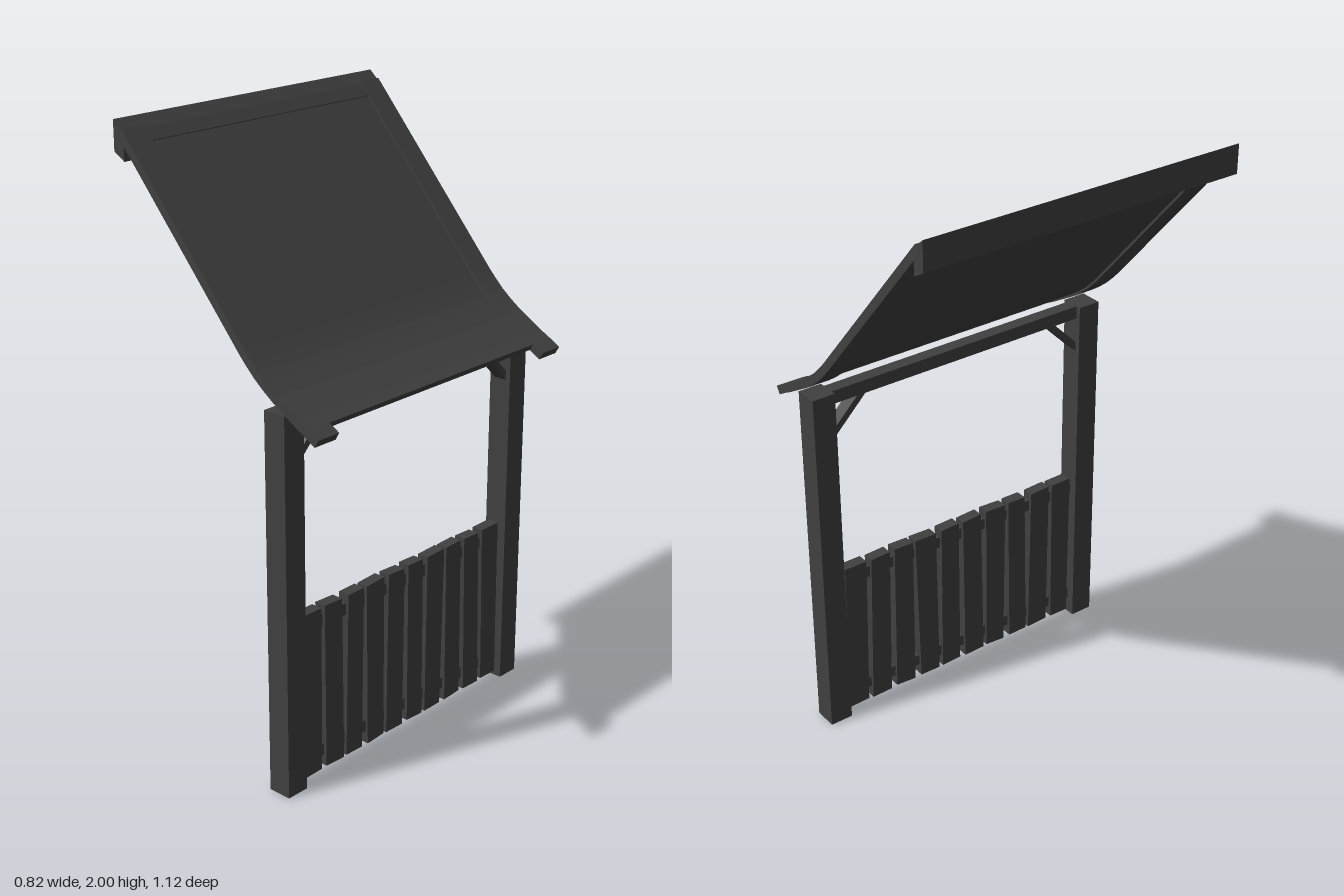
import * as THREE from 'three';

const material = new THREE.MeshStandardMaterial({ color: 0x404040, flatShading: true });

function add(parent, name, geometry, x = 0, y = 0, z = 0) {
  const mesh = new THREE.Mesh(geometry, material);
  mesh.name = name;
  mesh.position.set(x, y, z);
  parent.add(mesh);
  return mesh;
}

const box = (w, h, d) => new THREE.BoxGeometry(w, h, d);

// Outline in the x-y plane, extruded along z and centred on z = 0
function prism(points, depth) {
  const shape = new THREE.Shape(points.map(([x, y]) => new THREE.Vector2(x, y)));
  return new THREE.ExtrudeGeometry(shape, { depth, bevelEnabled: false }).translate(0, 0, -depth / 2);
}

// Centre line of the roof: straight slope with a flared eave
const SLOPE = [[-0.385, 1.967], [0.11, 1.402], [0.135, 1.376], [0.165, 1.347], [0.2, 1.319],
  [0.24, 1.291], [0.3, 1.256], [0.33, 1.238], [0.362, 1.221], [0.4, 1.199]];

// Strip of constant thickness following a polyline
function strip(line, thickness, depth) {
  const upper = [], lower = [];
  line.forEach(([x, y], i) => {
    const a = line[Math.max(i - 1, 0)], b = line[Math.min(i + 1, line.length - 1)];
    const dx = b[0] - a[0], dy = b[1] - a[1];
    const s = thickness / 2 / Math.hypot(dx, dy);
    upper.push([x - dy * s, y + dx * s]);
    lower.unshift([x + dy * s, y - dx * s]);
  });
  return prism([...upper, ...lower], depth);
}

export function createModel() {
  const model = new THREE.Group();
  model.name = 'shelter';
  const postX = 0.235;

  // Posts, corner braces and edge boards, mirrored across z
  for (const side of [1, -1]) {
    add(model, 'post', box(0.08, 1.25, 0.08), postX, 0.625, side * 0.521);
    const brace = add(model, 'cornerBrace', box(0.045, 0.19, 0.022), postX, 1.155, side * 0.426);
    brace.rotation.x = -side * Math.PI / 4;
    add(model, 'roofEdgeBoard', strip(SLOPE, 0.028, 0.086), 0, 0, side * 0.518);
  }
  add(model, 'topBeam', box(0.045, 0.045, 0.97), postX, 1.2275, 0);

  // Roof sheet, its two cross trims and the ridge board
  add(model, 'roofPanel', strip(SLOPE.slice(0, -1), 0.012, 0.96));
  add(model, 'eaveTrim', strip(SLOPE.slice(-3, -1), 0.022, 0.955));
  add(model, 'upperTrim', strip([[-0.38, 1.961], [-0.35, 1.927]], 0.022, 0.955));
  add(model, 'ridgeBoard', prism([[-0.41, 2], [-0.367, 1.962], [-0.367, 1.88], [-0.41, 1.905]], 1.121));

  // Fence rails
  for (const y of [0.08, 0.53]) add(model, 'fenceRail', box(0.02, 0.04, 0.97), postX, y, 0);

  // Uneven fence slats
  const tilts = [0, 0.012, -0.014, 0.008, -0.01, 0.005, -0.012, 0.012, 0.025, 0.018];
  tilts.forEach((tilt, i) => {
    const width = 0.076 + 0.004 * Math.sin(i * 2.3);
    const geometry = box(0.04, 0.56, width);
    const p = geometry.attributes.position;
    // Slanted ends and a slight taper
    for (let k = 0; k < p.count; k++) {
      const z = p.getZ(k), y = p.getY(k);
      p.setY(k, y + z * 0.06 * Math.sin(i * 1.7 + y));
      p.setZ(k, z * (1 + 0.15 * y * Math.cos(i * 2.1)));
    }
    const slat = add(model, 'fenceSlat', geometry, postX, 0.3 + 0.003 * Math.sin(i * 3.1), 0.43 - i * 0.0955);
    slat.rotation.x = tilt;
  });
  return model;
}
